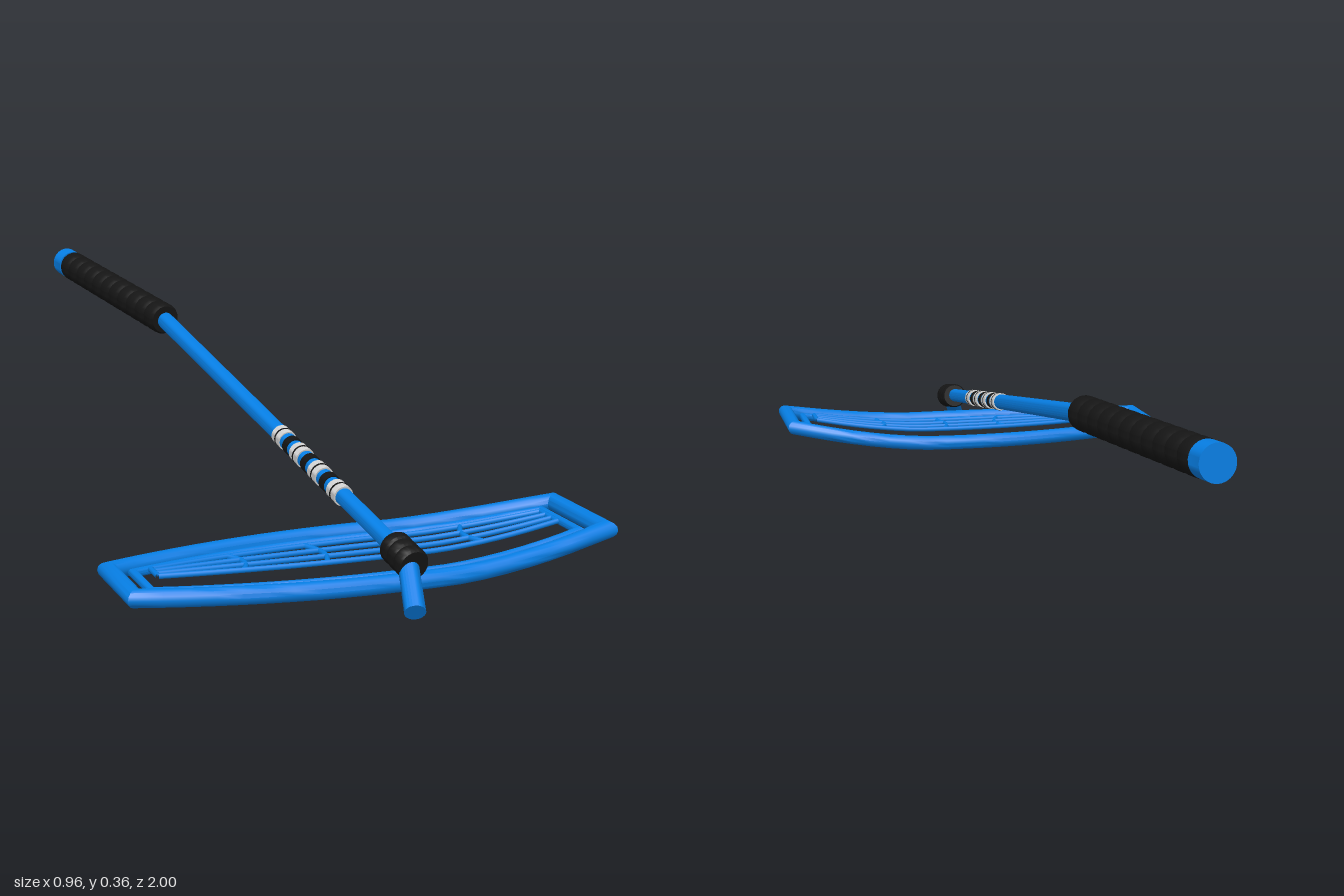
import * as THREE from 'three';
import { toCreasedNormals } from 'three/addons/utils/BufferGeometryUtils.js';

const mat = (name, color) => {
  const m = new THREE.MeshStandardMaterial({ color });
  m.name = name;
  return m;
};
const V = (x, y, z) => new THREE.Vector3(x, y, z);

// Parabola through three values at u = -1, 0, 1
const bow = ([a, b, c], u) => b + u * (c - a) / 2 + u * u * ((a + c) / 2 - b);

// Height of the head along its length: flat, curling up at the left end
const headY = (x) =>
  0.03 + (x < 0 ? 0.006 * (x / 0.47) ** 2 : 0.043 * (Math.max(0, x - 0.12) / 0.35) ** 1.6);

// Closed round frame with mitred corners
function frameGeometry(pts, r, sides = 14) {
  const n = pts.length, pos = [], idx = [];
  for (let i = 0; i < n; i++) {
    const p = pts[i];
    const t0 = p.clone().sub(pts[(i + n - 1) % n]).setY(0).normalize();
    const t1 = pts[(i + 1) % n].clone().sub(p).setY(0).normalize();
    const n0 = V(t0.z, 0, -t0.x), n1 = V(t1.z, 0, -t1.x);
    const m = n0.clone().add(n1).normalize();
    m.divideScalar(m.dot(n0));
    for (let j = 0; j < sides; j++) {
      const a = (j / sides) * Math.PI * 2, c = r * Math.cos(a);
      pos.push(p.x + m.x * c, p.y + r * Math.sin(a), p.z + m.z * c);
      const k = (j + 1) % sides, q = (i + 1) % n;
      const A = i * sides + j, B = q * sides + j, C = q * sides + k, D = i * sides + k;
      idx.push(A, D, C, A, C, B);
    }
  }
  const g = new THREE.BufferGeometry();
  g.setAttribute('position', new THREE.Float32BufferAttribute(pos, 3));
  g.setIndex(idx);
  return toCreasedNormals(g, 0.6);
}

// Turned part along the line a-b; profile holds [radius, fraction of length]
function turned(name, a, b, profile, material, sides = 24) {
  const len = a.distanceTo(b);
  const pts = profile.map(([r, t]) => new THREE.Vector2(r, t * len));
  const mesh = new THREE.Mesh(toCreasedNormals(new THREE.LatheGeometry(pts, sides), 0.6), material);
  mesh.name = name;
  mesh.position.copy(a);
  mesh.quaternion.setFromUnitVectors(V(0, 1, 0), b.clone().sub(a).normalize());
  return mesh;
}
const solid = (r0, r1 = r0) => [[0, 0], [r0, 0], [r1, 1], [0, 1]];

// Ribbed sleeve profile with rounded bulges
function ribs(count, rLow, rHigh) {
  const p = [[0, 0]];
  for (let i = 0; i < count; i++) {
    p.push([rLow, i / count], [rHigh, (i + 0.2) / count], [rHigh, (i + 0.8) / count]);
  }
  p.push([rLow, 1], [0, 1]);
  return p;
}

export function createModel() {
  const model = new THREE.Group();
  const blue = mat('blue', 0x067ee4);
  const black = mat('black', 0x151515);
  const white = mat('light grey', 0xd2d2d2);

  // Head frames
  const head = new THREE.Group();
  head.name = 'head';
  const addFrame = (name, half, back, front, r) => {
    const pts = [], N = 20;
    for (const [edge, s] of [[back, 1], [front, -1]]) {
      for (let i = 0; i <= N; i++) {
        const u = s * (-1 + (2 * i) / N);
        pts.push(V(u * half, headY(u * half), bow(edge, u)));
      }
    }
    const m = new THREE.Mesh(frameGeometry(pts, r), blue);
    m.name = name;
    head.add(m);
  };
  addFrame('outerFrame', 0.464, [0.63, 0.56, 0.645], [0.785, 0.863, 0.84], 0.0175);
  addFrame('innerFrame', 0.424, [0.655, 0.598, 0.668], [0.762, 0.822, 0.81], 0.0085);

  // Lattice: long slats and bowed cross bars
  const backEdge = [0.683, 0.652, 0.705], frontEdge = [0.726, 0.76, 0.77];
  const lattice = (u, v) => {
    const x = u * 0.4;
    return V(x, headY(x) + 0.015, THREE.MathUtils.lerp(bow(backEdge, u), bow(frontEdge, u), v));
  };
  const bar = (name, pts) => {
    const curve = new THREE.CatmullRomCurve3(pts);
    const m = new THREE.Mesh(new THREE.TubeGeometry(curve, 24, 0.0055, 8), blue);
    m.name = name;
    head.add(m);
  };
  for (let k = 0; k < 4; k++) {
    const pts = [];
    for (let i = 0; i <= 10; i++) pts.push(lattice(-1 + i / 5, k / 3));
    bar('slat', pts);
  }
  for (let i = 0; i < 6; i++) {
    const u = -1 + i * 0.4, pts = [];
    for (let j = 0; j <= 6; j++) {
      const bulge = Math.abs(u) > 0.9 ? 0 : -Math.sign(u) * 0.04 * Math.sin((j / 6) * Math.PI);
      pts.push(lattice(u + bulge, j / 6));
    }
    bar('crossBar', pts);
  }
  model.add(head);

  // Shaft
  const shaftFront = V(0.013, 0.086, 0.89), shaftBack = V(-0.008, 0.291, -0.37);
  model.add(turned('shaft', shaftFront, shaftBack, solid(0.0165, 0.0195), blue));

  // Bands around the shaft
  const onShaft = (z) => shaftFront.clone().lerp(shaftBack, (0.89 - z) / 1.26);
  const band = (name, z, w, r, m) =>
    model.add(turned(name, onShaft(z + w / 2), onShaft(z - w / 2), solid(r), m));
  for (let i = 0; i < 4; i++) {
    const z = 0.35 + i * 0.088;
    band('lightBand', z, 0.036, 0.0205, white);
    band('darkRing', z, 0.004, 0.0212, black);
    if (i < 3) band('darkBand', z + 0.044, 0.02, 0.0195, black);
  }

  // Collar and angled tip
  model.add(turned('collar', V(0.016, 0.079, 0.918), V(0.014, 0.093, 0.84), ribs(3, 0.028, 0.031), black));
  model.add(turned('tip', V(0.013, 0.078, 0.9), V(-0.017, 0.021, 0.99), solid(0.019, 0.0195), blue));

  // Ribbed grip and end cap
  const gripFront = V(-0.008, 0.29, -0.35), gripBack = V(-0.06, 0.329, -0.952);
  model.add(turned('grip', gripFront, gripBack, ribs(11, 0.0325, 0.037), black, 18));
  model.add(turned('endCap', gripBack, V(-0.064, 0.332, -0.997), solid(0.036), blue));

  return model;
}
